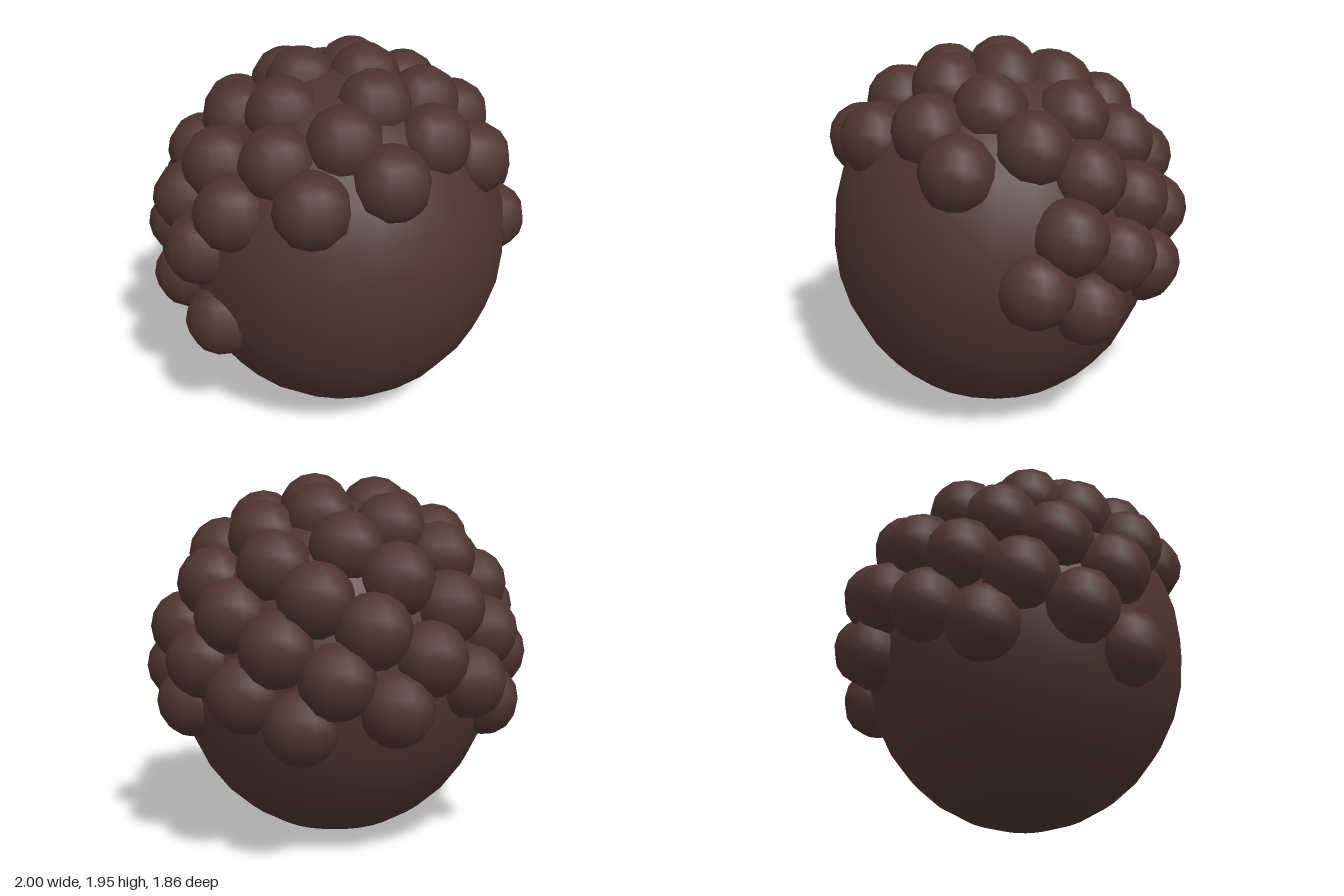
import * as THREE from 'three';

export function createModel() {
  const model = new THREE.Group();
  const brown = new THREE.MeshStandardMaterial({ color: 0x4e342e });
  brown.name = 'dark brown';

  // Smooth, slightly tall head
  const head = new THREE.Mesh(new THREE.SphereGeometry(1, 24, 16), brown);
  head.name = 'head';
  head.scale.set(0.87, 0.92, 0.845);
  head.position.set(0, 0.92, 0.07);
  model.add(head);

  // Round curls in a golden-angle spiral from the crown down, leaving the face bare
  const curls = new THREE.Group();
  curls.name = 'curls';
  const curlGeometry = new THREE.SphereGeometry(0.19, 10, 8).rotateY(Math.PI / 2);
  const goldenAngle = Math.PI * (3 - Math.sqrt(5));
  for (let i = 0; i < 60; i++) {
    const y = 1 - (2 * i + 1) / 90;
    const ring = Math.sqrt(1 - y * y);
    const x = ring * Math.cos(i * goldenAngle);
    const z = -ring * Math.sin(i * goldenAngle);
    if (z > 0.33 && y < 0.5) continue; // face opening
    const curl = new THREE.Mesh(curlGeometry, brown);
    curl.name = 'curl';
    curl.position.set(0.84 * x, 0.968 + 0.8 * y, 0.06 + 0.835 * z);
    curls.add(curl);
  }
  model.add(curls);
  return model;
}
